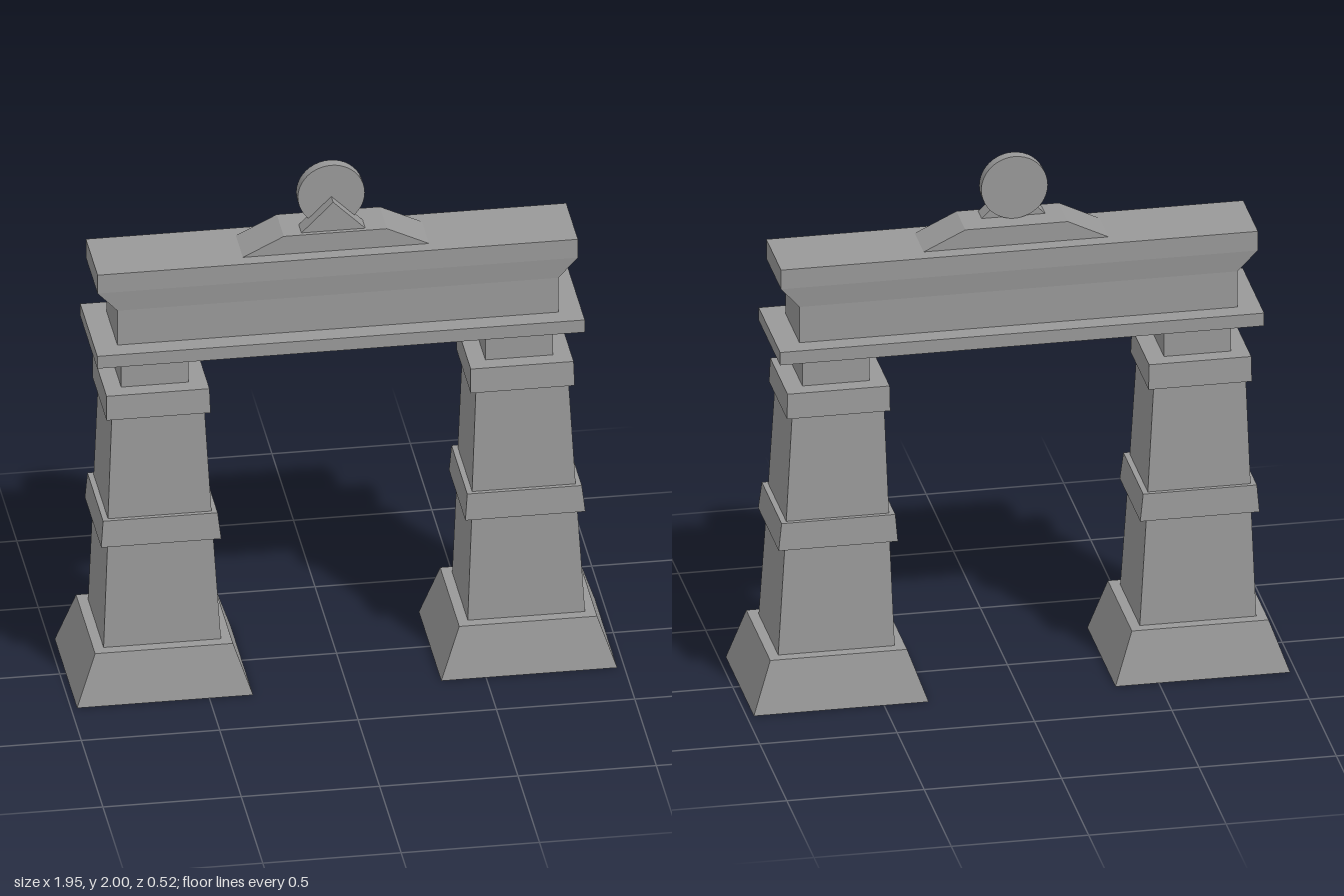
import * as THREE from 'three';

const stone = new THREE.MeshStandardMaterial({ color: 0x999999, side: THREE.DoubleSide });
stone.name = 'grey stone';

function add(group, name, geometry) {
  const mesh = new THREE.Mesh(geometry, stone);
  mesh.name = name;
  group.add(mesh);
  return mesh;
}

// Stack of rectangles [y, centre x, half width, half depth, centre z], joined by flat walls
function loft(levels, { top = false, bottom = false } = {}) {
  const rings = levels.map(([y, cx, hw, hd, cz = 0]) =>
    [[-1, 1], [1, 1], [1, -1], [-1, -1]].map(([sx, sz]) => [cx + sx * hw, y, cz + sz * hd]));
  const pos = [];
  const quad = (a, b, c, d) => pos.push(...a, ...b, ...c, ...a, ...c, ...d);
  for (let i = 0; i + 1 < rings.length; i++) {
    const lo = rings[i], up = rings[i + 1];
    for (let k = 0; k < 4; k++) {
      const n = (k + 1) % 4;
      quad(lo[k], lo[n], up[n], up[k]);
    }
  }
  if (top) quad(...rings[rings.length - 1]);
  if (bottom) quad(...[...rings[0]].reverse());
  const g = new THREE.BufferGeometry();
  g.setAttribute('position', new THREE.Float32BufferAttribute(pos, 3));
  g.computeVertexNormals();
  return g;
}

// Outline in x, y extruded from z0 to z1
function plate(points, z0, z1) {
  const shape = new THREE.Shape(points.map(([x, y]) => new THREE.Vector2(x, y)));
  const g = new THREE.ExtrudeGeometry(shape, { depth: z1 - z0, bevelEnabled: false });
  return g.translate(0, 0, z0);
}

// Hollow tapered pillar, open at the foot
function makePillar(side) {
  const pillar = new THREE.Group();
  pillar.name = side > 0 ? 'leftPillar' : 'rightPillar';
  const x = (shift) => side * 0.658 + shift;
  add(pillar, 'plinth', loft([
    [0, x(-0.002), 0.318, 0.26],
    [0.195, x(0), 0.249, 0.222],
    [0.195, x(0), 0.212, 0.181],
  ]));
  add(pillar, 'lowerShaft', loft([
    [0.195, x(0), 0.212, 0.181],
    [0.607, x(-0.005), 0.191, 0.17],
  ]));
  add(pillar, 'middleBand', loft([
    [0.607, x(-0.005), 0.191, 0.17],
    [0.607, x(-0.005), 0.217, 0.19],
    [0.71, x(-0.007), 0.207, 0.183],
    [0.71, x(-0.007), 0.187, 0.167],
  ]));
  add(pillar, 'upperShaft', loft([
    [0.71, x(-0.007), 0.187, 0.167],
    [1.11, x(-0.011), 0.168, 0.157],
  ]));
  add(pillar, 'upperBand', loft([
    [1.11, x(-0.011), 0.168, 0.157],
    [1.11, x(-0.011), 0.188, 0.166],
    [1.205, x(-0.012), 0.186, 0.16],
    [1.205, x(-0.014), 0.122, 0.1],
  ]));
  add(pillar, 'neck', loft([
    [1.205, x(-0.014), 0.122, 0.1],
    [1.308, x(-0.014), 0.122, 0.1],
  ]));
  add(pillar, 'flaredCapital', loft([
    [1.308, x(-0.014), 0.122, 0.1, -0.002],
    [1.34, x(-0.014), 0.218, 0.197, -0.003],
  ]));
  return pillar;
}

export function createModel() {
  const model = new THREE.Group();
  model.name = 'archway';
  for (const side of [-1, 1]) model.add(makePillar(side));

  // Flat slab across both pillars
  add(model, 'slab', loft([
    [1.34, -0.014, 0.881, 0.198, -0.003],
    [1.39, -0.014, 0.881, 0.198, -0.003],
  ], { top: true, bottom: true }));

  // Beam that widens towards its top
  add(model, 'beam', loft([
    [1.39, -0.014, 0.797, 0.127, -0.004],
    [1.53, -0.014, 0.797, 0.127, -0.004],
    [1.61, -0.016, 0.868, 0.136, -0.005],
    [1.685, -0.016, 0.868, 0.136, -0.005],
  ], { top: true }));

  // Ornament on the ridge
  add(model, 'pediment', plate(
    [[-0.357, 1.682], [0.328, 1.682], [0.17, 1.758], [-0.203, 1.758]], -0.085, 0.08));
  add(model, 'gable', plate(
    [[-0.139, 1.756], [0.096, 1.756], [-0.022, 1.873]], 0.0, 0.064));
  const disc = new THREE.CylinderGeometry(0.121, 0.121, 0.04, 40).rotateX(Math.PI / 2);
  add(model, 'disc', disc).position.set(-0.022, 1.879, 0);

  return model;
}
